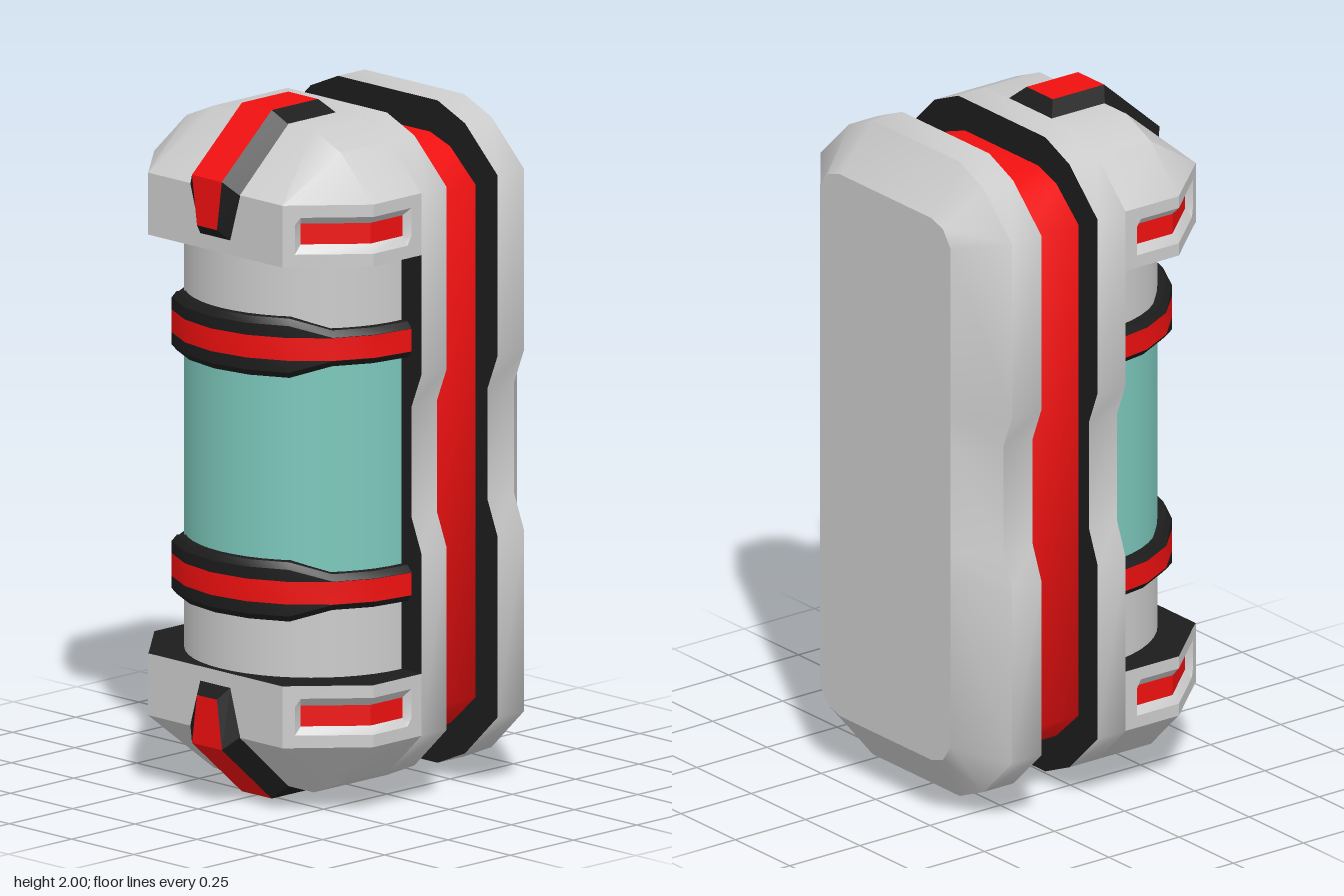
import * as THREE from 'three';
import { toCreasedNormals } from 'three/addons/utils/BufferGeometryUtils.js';
import { ConvexGeometry } from 'three/addons/geometries/ConvexGeometry.js';

const paint = (color) => new THREE.MeshStandardMaterial({ color });
const grey = paint(0xcccccc), black = paint(0x1c1c1c), red = paint(0xf01010), teal = paint(0x7cc8bc);

function part(name, geometry, material, parent) {
  const mesh = new THREE.Mesh(geometry, material);
  mesh.name = name;
  parent.add(mesh);
  return mesh;
}

// Skin a grid of points; keep(row, column) picks which quads to build.
function skin(rows, keep = () => true, crease = 0.6) {
  const pos = [];
  for (let i = 0; i < rows.length - 1; i++) {
    for (let j = 0; j < rows[i].length - 1; j++) {
      if (!keep(i, j)) continue;
      const a = rows[i][j], b = rows[i][j + 1], c = rows[i + 1][j + 1], d = rows[i + 1][j];
      pos.push(...a, ...b, ...c, ...a, ...c, ...d);
    }
  }
  const geo = new THREE.BufferGeometry();
  geo.setAttribute('position', new THREE.Float32BufferAttribute(pos, 3));
  geo.computeVertexNormals();
  return toCreasedNormals(geo, crease);
}

// Mirror a quarter outline into a full counter-clockwise loop.
function fullLoop(quarter) {
  const back = [...quarter].reverse();
  return [
    ...quarter,
    ...back.map(([x, y]) => [-x, y]),
    ...quarter.map(([x, y]) => [-x, -y]),
    ...back.map(([x, y]) => [x, -y]),
  ];
}

const toShape = (pts) => new THREE.Shape(pts.map(([x, y]) => new THREE.Vector2(x, y)));

function slab(loop, z0, z1) {
  const geo = new THREE.ExtrudeGeometry(toShape(loop), { depth: z1 - z0, bevelEnabled: false });
  geo.translate(0, 0, z0);
  return toCreasedNormals(geo, 0.87);
}

// Half cylinder bulging to the front from the frame
function halfCylinder(radius, y0, y1) {
  const geo = new THREE.CylinderGeometry(radius, radius, y1 - y0, 24, 1, true, -Math.PI / 2, Math.PI);
  geo.translate(0, (y0 + y1) / 2, 0.05);
  return geo;
}

// End cap: faceted roof, walls with wrapped window pockets, dark underside
function addCap(parent) {
  const wall = [[0.27, 0.432], [0.292, 0.405], [0.304, 0.392], [0.44, 0.24], [0.44, 0.105], [0.44, 0.09], [0.44, 0.05]];
  const pocket = wall.map((p) => [...p]);
  pocket[2] = [0.289, 0.379];
  pocket[3] = [0.42, 0.2325];
  pocket[4] = [0.42, 0.105];
  const across = (half) => [...[...half].reverse().map(([x, z]) => [-x, z]), ...half];
  const levels = [[0.608, wall], [0.645, wall], [0.67, pocket], [0.73, pocket], [0.752, wall], [0.788, wall]];
  const rows = levels.map(([y, half]) => across(half).map(([x, z]) => [x, y, z]));
  const isWindow = (i, j) => i === 2 && [2, 3, 9, 10].includes(j);
  part('capWall', skin(rows, (i, j) => !isWindow(i, j)), grey, parent);
  part('capWindows', skin(rows, isWindow), red, parent);

  const roof = [];
  for (const s of [-1, 1]) {
    for (const z of [0.05, 0.24]) {
      for (const [x, y] of [[0.44, 0.788], [0.31, 0.915], [0.2, 0.962]]) roof.push(new THREE.Vector3(s * x, y, z));
    }
    roof.push(new THREE.Vector3(s * 0.27, 0.788, 0.432));
  }
  part('capRoof', toCreasedNormals(new ConvexGeometry(roof), 0.6), grey, parent);

  const under = new THREE.ShapeGeometry(toShape(across(wall)));
  under.rotateX(Math.PI / 2).translate(0, 0.608, 0);
  part('capUnderside', under, black, parent);
}

// Raised clasp folded over the cap, tapered at its lower end
function addClasp(parent) {
  // base z, y, half width, then top z, y, half width
  const path = [
    [0.05, 0.96, 0.1, 0.085, 1.0, 0.06],
    [0.24, 0.96, 0.1, 0.268, 1.0, 0.06],
    [0.432, 0.786, 0.1, 0.465, 0.825, 0.06],
    [0.432, 0.65, 0.06, 0.465, 0.682, 0.04],
  ];
  const flat = ([z, y, w]) => [[w, y, z], [w, y, z], [-w, y, z], [-w, y, z]];
  const rows = [
    flat(path[0]),
    ...path.map(([z, y, w, tz, ty, tw]) => [[w, y, z], [tw, ty, tz], [-tw, ty, tz], [-w, y, z]]),
    flat(path[3]),
  ];
  const isStripe = (i, j) => j === 1 && i > 0 && i < 4;
  part('claspFrame', skin(rows, (i, j) => !isStripe(i, j), 0.3), black, parent);
  part('claspStripe', skin(rows, isStripe, 0.3), red, parent);
}

// Ring round the glass, taller across the front, with a coloured band
function addRing(parent, y) {
  const rows = [];
  for (let k = -5; k <= 5; k++) {
    const a = (k * Math.PI) / 10;
    const h = Math.abs(k) <= 2 ? 0.086 : 0.052;
    const e = h - 0.018;
    const profile = [[0.355, h], [0.385, h], [0.4, e], [0.4, 0.033], [0.4, -0.033], [0.4, -e], [0.385, -h], [0.355, -h]];
    rows.push(profile.map(([r, dy]) => [r * Math.sin(a), y + dy, 0.05 + r * Math.cos(a)]));
  }
  part('ringBody', skin(rows, (i, j) => j !== 3), black, parent);
  part('ringBand', skin(rows, (i, j) => j === 3), red, parent);
}

export function createModel() {
  const root = new THREE.Group();
  root.name = 'canister';
  const body = new THREE.Group();
  body.name = 'body';
  body.position.y = 1;
  root.add(body);

  // Notched frame, recessed core and back shell
  const outline = fullLoop([[0.4, 0.16], [0.44, 0.26], [0.44, 0.788], [0.31, 0.915], [0.2, 0.962]]);
  const panel = fullLoop([[0.3, 0.16], [0.3, 0.26], [0.3, 0.755], [0.265, 0.805], [0.21, 0.822]]);
  const core = fullLoop([[0.352, 0.745], [0.25, 0.838], [0.17, 0.866]]);
  part('frontFrame', slab(outline, -0.05, 0.05), [black, grey], body);
  part('core', slab(core, -0.26, -0.04), red, body);
  part('backShell', slab(outline, -0.355, -0.25), [black, grey], body);

  // Bevel from the back shell in to the flat panel
  const ringAt = (loop, z) => [...loop, loop[0]].map(([x, y]) => [x, y, z]);
  part('backBevel', skin([ringAt(panel, -0.465), ringAt(outline, -0.355)], undefined, 0.87), grey, body);
  const panelGeo = new THREE.ShapeGeometry(toShape(panel));
  panelGeo.rotateY(Math.PI).translate(0, 0, -0.465);
  part('backPanel', panelGeo, grey, body);

  part('glass', halfCylinder(0.36, -0.354, 0.354), teal, body);

  // Both ends are alike, the lower one turned over
  for (const [name, turn] of [['upperEnd', 0], ['lowerEnd', Math.PI]]) {
    const end = new THREE.Group();
    end.name = name;
    end.rotation.z = turn;
    body.add(end);
    addCap(end);
    addClasp(end);
    addRing(end, 0.354);
    part('collar', halfCylinder(0.36, 0.354, 0.62), grey, end);
  }
  return root;
}
